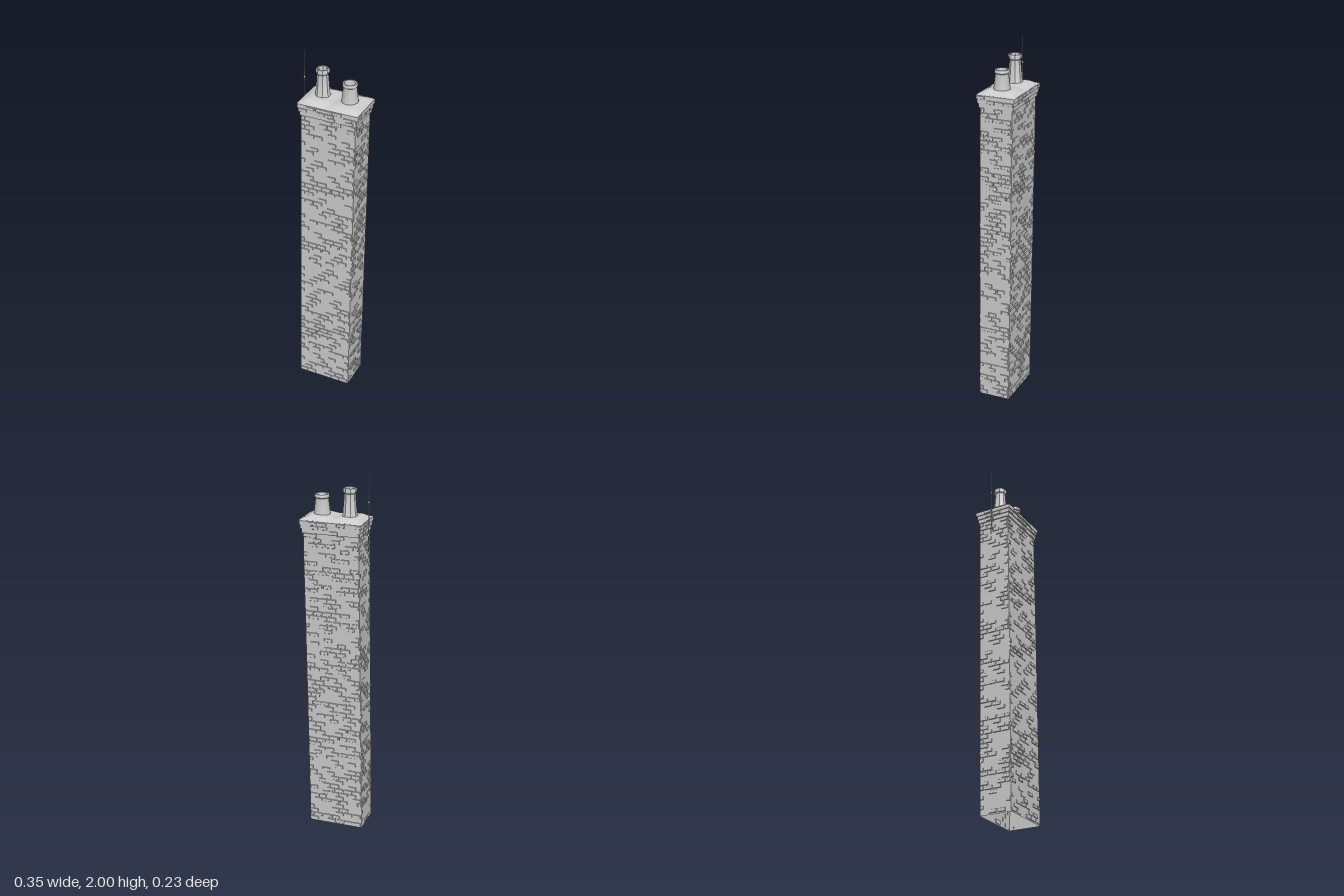
import * as THREE from 'three';
import { mergeGeometries, toCreasedNormals } from 'three/addons/utils/BufferGeometryUtils.js';

const stone = new THREE.MeshStandardMaterial({ color: 0xcccccc, side: THREE.DoubleSide });
stone.name = 'pale grey';

// Small seeded random generator
let seed = 11;
const rand = () => (seed = (seed * 16807) % 2147483647) / 2147483647;

// The whole stack leans slightly to +x and -z as it rises
function lean(geo) {
  const p = geo.attributes.position;
  for (let i = 0; i < p.count; i++) {
    const y = p.getY(i);
    p.setX(i, p.getX(i) - 0.0135 + 0.0105 * y);
    p.setZ(i, p.getZ(i) + 0.023 - 0.0165 * y);
  }
  geo.computeVertexNormals();
  return geo;
}

// One proud brick: a thin slab whose outer face is slightly smaller
function brick(length, height, proud) {
  const g = new THREE.BoxGeometry(length, height, proud * 2);
  const p = g.attributes.position;
  for (let i = 0; i < p.count; i++) {
    if (p.getZ(i) < 0) continue;
    p.setX(i, p.getX(i) - Math.sign(p.getX(i)) * 0.003);
    p.setY(i, p.getY(i) - Math.sign(p.getY(i)) * 0.003);
  }
  return g;
}

// Scatter proud bricks in running bond over the four walls of a box
function brickCourses(hx, hz, y0, y1, courses, chance) {
  const parts = [], h = (y1 - y0) / courses, len = 0.05;
  for (let side = 0; side < 4; side++) {
    const w = side % 2 ? hz : hx, dist = side % 2 ? hx : hz;
    for (let c = 0; c < courses; c++) {
      for (let u = -w - (c % 2) * len / 2; u < w; u += len) {
        const a = Math.max(u, -w), b = Math.min(u + len, w);
        if (b - a < 0.012 || rand() > chance) continue;
        const g = brick(b - a - 0.003, h * 0.9, 0.0015 + rand() * 0.003);
        g.translate((a + b) / 2, y0 + (c + 0.5) * h, dist);
        parts.push(g.rotateY(side * Math.PI / 2));
      }
    }
  }
  return lean(mergeGeometries(parts));
}

// Hollow chimney pot turned from a profile of [radius, height]
function pot(profile, sides, creaseAngle) {
  const g = new THREE.LatheGeometry(profile.map(([r, y]) => new THREE.Vector2(r, y)), sides);
  g.rotateY(Math.PI / sides);
  return toCreasedNormals(g, creaseAngle);
}

export function createModel() {
  const group = new THREE.Group();
  const add = (name, geo, x = 0, y = 0, z = 0) => {
    const m = new THREE.Mesh(geo, stone);
    m.name = name;
    m.position.set(x, y, z);
    group.add(m);
  };

  // Shaft: four walls, open underneath
  const shaft = new THREE.CylinderGeometry(Math.SQRT2, Math.SQRT2, 1.71, 4, 1, true);
  shaft.rotateY(Math.PI / 4).scale(0.151, 1, 0.089).translate(0, 0.855, 0);
  add('shaft', toCreasedNormals(lean(shaft), 0.5));
  add('shaftBricks', brickCourses(0.151, 0.089, 0.005, 1.69, 68, 0.5));

  // Corbel bands stepping outward: [half width, half depth, bottom, top]
  const bands = [[0.157, 0.096, 1.69, 1.713], [0.162, 0.101, 1.713, 1.735], [0.167, 0.1055, 1.735, 1.757]];
  for (const [hx, hz, y0, y1] of bands) {
    const g = new THREE.BoxGeometry(hx * 2, y1 - y0, hz * 2).translate(0, (y0 + y1) / 2, 0);
    add('corbelBand', lean(g));
    add('corbelBricks', brickCourses(hx, hz, y0, y1, 1, 0.45));
  }

  // Mortar cap: soft edges, with a shallow dip between the pots
  const cap = new THREE.PlaneGeometry(0.337, 0.213, 34, 22).rotateX(-Math.PI / 2);
  const cp = cap.attributes.position;
  for (let i = 0; i < cp.count; i++) {
    const x = cp.getX(i), z = cp.getZ(i);
    const ex = THREE.MathUtils.smoothstep(0.1685 - Math.abs(x), -0.015, 0.05);
    const ez = THREE.MathUtils.smoothstep(0.1065 - Math.abs(z), -0.015, 0.05);
    cp.setY(i, 0.022 * ex * ez - 0.008 * ez * Math.exp(-((x / 0.035) ** 2)));
  }
  cap.computeVertexNormals();
  add('mortarCap', cap, 0.0055, 1.757, -0.0065);

  // Tall octagonal pot
  add('octagonalPot', pot([
    [0.041, 0], [0.041, 0.012], [0.037, 0.02], [0.029, 0.125], [0.035, 0.133],
    [0.036, 0.148], [0.033, 0.154], [0.027, 0.154], [0.026, 0.13], [0.028, 0.012], [0, 0.012],
  ], 8, 0.5), -0.07, 1.77, -0.01);

  // Short round pot
  add('roundPot', pot([
    [0.045, 0], [0.043, 0.015], [0.034, 0.09], [0.038, 0.094], [0.039, 0.104],
    [0.036, 0.11], [0.029, 0.11], [0.027, 0.1], [0.028, 0.012], [0, 0.012],
  ], 20, 0.6), 0.083, 1.77, -0.005);

  // Lightning rod with its collar and wall brackets
  const rx = -0.171, rz = -0.008;
  add('lightningRod', new THREE.CylinderGeometry(0.0015, 0.003, 0.405, 8), rx, 1.7975, rz);
  add('rodCollar', new THREE.SphereGeometry(0.006, 10, 8), rx, 1.855, rz);
  for (const y of [1.63, 1.685]) {
    add('rodBracket', new THREE.BoxGeometry(0.03, 0.006, 0.006), rx + 0.012, y, rz);
    add('rodClamp', new THREE.CylinderGeometry(0.005, 0.005, 0.01, 8), rx, y, rz);
  }
  return group;
}
